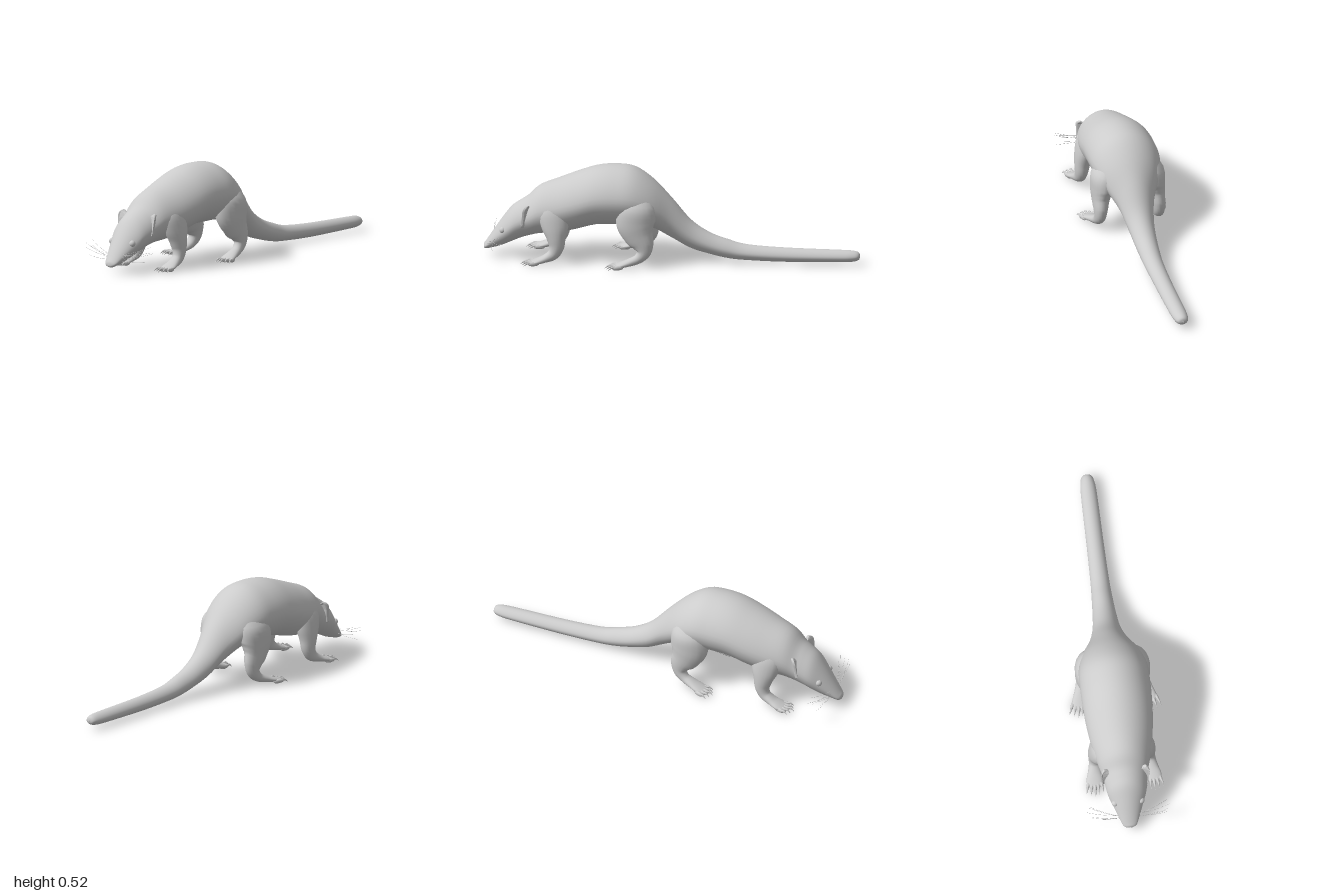
import * as THREE from 'three';

const material = new THREE.MeshStandardMaterial({ color: 0xcccccc, side: THREE.DoubleSide });

function add(parent, name, geometry) {
  const mesh = new THREE.Mesh(geometry, material);
  mesh.name = name;
  parent.add(mesh);
  return mesh;
}

// Smooth skin over sections [x, y, z, half width, half depth].
// Rings follow the path in the yz plane, or stay vertical when upright.
function loft(sections, { upright = false, taper = 0, sides = 28, steps = 4 } = {}) {
  const path = new THREE.CatmullRomCurve3(sections.map(s => new THREE.Vector3(s[0], s[1], s[2])), false, 'catmullrom');
  const size = new THREE.CatmullRomCurve3(sections.map(s => new THREE.Vector3(s[3], s[4], 0)), false, 'catmullrom');
  const rings = (sections.length - 1) * steps;
  const positions = [], index = [];
  for (let i = 0; i <= rings; i++) {
    const c = path.getPoint(i / rings), r = size.getPoint(i / rings);
    const t = upright ? new THREE.Vector3(0, 0, 1) : path.getTangent(i / rings);
    const len = Math.hypot(t.y, t.z) || 1;
    for (let j = 0; j < sides; j++) {
      const a = (j / sides) * Math.PI * 2, sn = Math.sin(a);
      const narrow = 1 - taper * Math.max(0, sn);
      positions.push(
        c.x + Math.max(r.x, 0.001) * Math.cos(a) * narrow,
        c.y + Math.max(r.y, 0.001) * sn * t.z / len,
        c.z - Math.max(r.y, 0.001) * sn * t.y / len);
      if (i < rings) {
        const p = i * sides + j, q = i * sides + (j + 1) % sides;
        index.push(p, q, p + sides, q, q + sides, p + sides);
      }
    }
  }
  const g = new THREE.BufferGeometry();
  g.setAttribute('position', new THREE.Float32BufferAttribute(positions, 3));
  g.setIndex(index);
  g.computeVertexNormals();
  return g;
}

// Tail, trunk and head outline: [z, top, bottom, half width]
const bodyProfile = [
  [-1, 0.052, 0.046, 0.002], [-0.992, 0.07, 0.03, 0.025], [-0.96, 0.079, 0.02, 0.037],
  [-0.88, 0.081, 0.016, 0.043], [-0.6, 0.085, 0.01, 0.046], [-0.4, 0.097, 0.014, 0.05],
  [-0.3, 0.122, 0.022, 0.055], [-0.2, 0.158, 0.044, 0.062], [-0.1, 0.225, 0.074, 0.073],
  [0, 0.34, 0.13, 0.1], [0.1, 0.442, 0.185, 0.152], [0.2, 0.507, 0.2, 0.182],
  [0.3, 0.519, 0.2, 0.187], [0.4, 0.508, 0.195, 0.185], [0.5, 0.475, 0.168, 0.178],
  [0.6, 0.436, 0.145, 0.163], [0.7, 0.395, 0.135, 0.14], [0.76, 0.34, 0.12, 0.12],
  [0.8, 0.312, 0.107, 0.113], [0.85, 0.276, 0.085, 0.103], [0.9, 0.212, 0.062, 0.08],
  [0.95, 0.138, 0.046, 0.056], [0.985, 0.085, 0.038, 0.038], [0.997, 0.068, 0.042, 0.022],
  [1, 0.056, 0.05, 0.002],
];

function buildLeg(side, name, sections, foot) {
  const leg = new THREE.Group();
  leg.name = name;
  add(leg, 'limb', loft(sections.map(([x, ...rest]) => [x * side, ...rest]), { sides: 20 }));
  // Five fanned toes, each ending in a claw
  for (let i = 0; i < 5; i++) {
    const k = i - 2;
    const toe = new THREE.Group();
    toe.name = 'toe';
    toe.position.set(side * (foot.x + k * 0.0165), 0.013, foot.z - Math.abs(k) * 0.009);
    toe.rotation.y = side * (foot.turn + k * 0.12);
    const pad = add(toe, 'toePad', new THREE.SphereGeometry(1, 10, 8));
    pad.scale.set(0.0095, 0.012, 0.032);
    add(toe, 'claw', loft([
      [0, 0.004, 0.018, 0.006, 0.006], [0, 0.004, 0.036, 0.0045, 0.005], [0, -0.009, 0.054, 0.0005, 0.0005],
    ], { sides: 8 }));
    leg.add(toe);
  }
  return leg;
}

const frontLeg = [
  [0.1, 0.34, 0.63, 0.03, 0.05], [0.112, 0.28, 0.62, 0.05, 0.08], [0.126, 0.21, 0.61, 0.05, 0.074],
  [0.137, 0.15, 0.603, 0.043, 0.053], [0.142, 0.1, 0.6, 0.036, 0.041], [0.146, 0.058, 0.618, 0.031, 0.032],
  [0.151, 0.034, 0.66, 0.036, 0.021], [0.156, 0.021, 0.7, 0.043, 0.015], [0.157, 0.014, 0.735, 0.034, 0.008],
  [0.157, 0.013, 0.745, 0.002, 0.002],
];
const rearLeg = [
  [0.1, 0.39, 0.17, 0.04, 0.06], [0.122, 0.32, 0.175, 0.072, 0.1], [0.136, 0.24, 0.18, 0.064, 0.104],
  [0.148, 0.18, 0.165, 0.049, 0.083], [0.156, 0.13, 0.14, 0.038, 0.06], [0.16, 0.085, 0.136, 0.031, 0.039],
  [0.165, 0.05, 0.165, 0.029, 0.026], [0.173, 0.032, 0.21, 0.036, 0.02], [0.182, 0.02, 0.255, 0.042, 0.014],
  [0.186, 0.014, 0.288, 0.033, 0.008], [0.187, 0.013, 0.298, 0.002, 0.002],
];

// Cupped ear, standing across the head
function earGeometry(side) {
  const shape = new THREE.Shape();
  shape.moveTo(side * 0.068, 0.265);
  shape.quadraticCurveTo(side * 0.085, 0.293, side * 0.111, 0.306);
  shape.quadraticCurveTo(side * 0.127, 0.3, side * 0.124, 0.275);
  shape.quadraticCurveTo(side * 0.119, 0.235, side * 0.12, 0.2);
  shape.quadraticCurveTo(side * 0.1, 0.18, side * 0.085, 0.21);
  shape.closePath();
  const g = new THREE.ExtrudeGeometry(shape, {
    depth: 0.008, bevelEnabled: true, bevelThickness: 0.004, bevelSize: 0.004, bevelSegments: 3, curveSegments: 8,
  });
  const p = g.attributes.position;
  for (let i = 0; i < p.count; i++) {
    const dx = Math.abs(p.getX(i)) - 0.095, dy = p.getY(i) - 0.25;
    p.setZ(i, p.getZ(i) + 0.762 + dx * dx * 16 - dy * 0.2);
  }
  g.computeVertexNormals();
  return g;
}

// Whisker roots and tips: [x, y, z, tip x, tip y, tip z]
const whiskers = [
  [0.05, 0.105, 0.95, 0.205, 0.155, 0.9], [0.052, 0.1, 0.945, 0.222, 0.131, 0.92],
  [0.05, 0.092, 0.955, 0.205, 0.143, 0.95], [0.05, 0.085, 0.95, 0.2, 0.122, 0.96],
  [0.052, 0.078, 0.94, 0.212, 0.122, 0.89], [0.048, 0.072, 0.95, 0.195, 0.078, 0.935],
];

export function createModel() {
  const model = new THREE.Group();
  model.name = 'longSnoutedAnimal';

  add(model, 'body', loft(
    bodyProfile.map(([z, top, bottom, w]) => [0, (top + bottom) / 2, z, w, (top - bottom) / 2]),
    { upright: true, taper: 0.12, sides: 40 }));

  for (const side of [1, -1]) {
    const label = side > 0 ? 'left' : 'right';
    model.add(buildLeg(side, label + 'FrontLeg', frontLeg, { x: 0.157, z: 0.735, turn: 0.05 }));
    model.add(buildLeg(side, label + 'RearLeg', rearLeg, { x: 0.19, z: 0.285, turn: 0.15 }));
    add(model, label + 'Ear', earGeometry(side));

    const eye = add(model, label + 'Eye', new THREE.SphereGeometry(0.018, 16, 12));
    eye.position.set(side * 0.07, 0.16, 0.893);

    const group = new THREE.Group();
    group.name = label + 'Whiskers';
    for (const [x, y, z, tx, ty, tz] of whiskers) {
      const curve = new THREE.QuadraticBezierCurve3(
        new THREE.Vector3(side * x, y, z),
        new THREE.Vector3(side * (x + tx) / 2, (y + ty) / 2 - 0.008, (z + tz) / 2 + 0.008),
        new THREE.Vector3(side * tx, ty, tz));
      add(group, 'whisker', new THREE.TubeGeometry(curve, 8, 0.0007, 4));
    }
    model.add(group);
  }
  return model;
}
